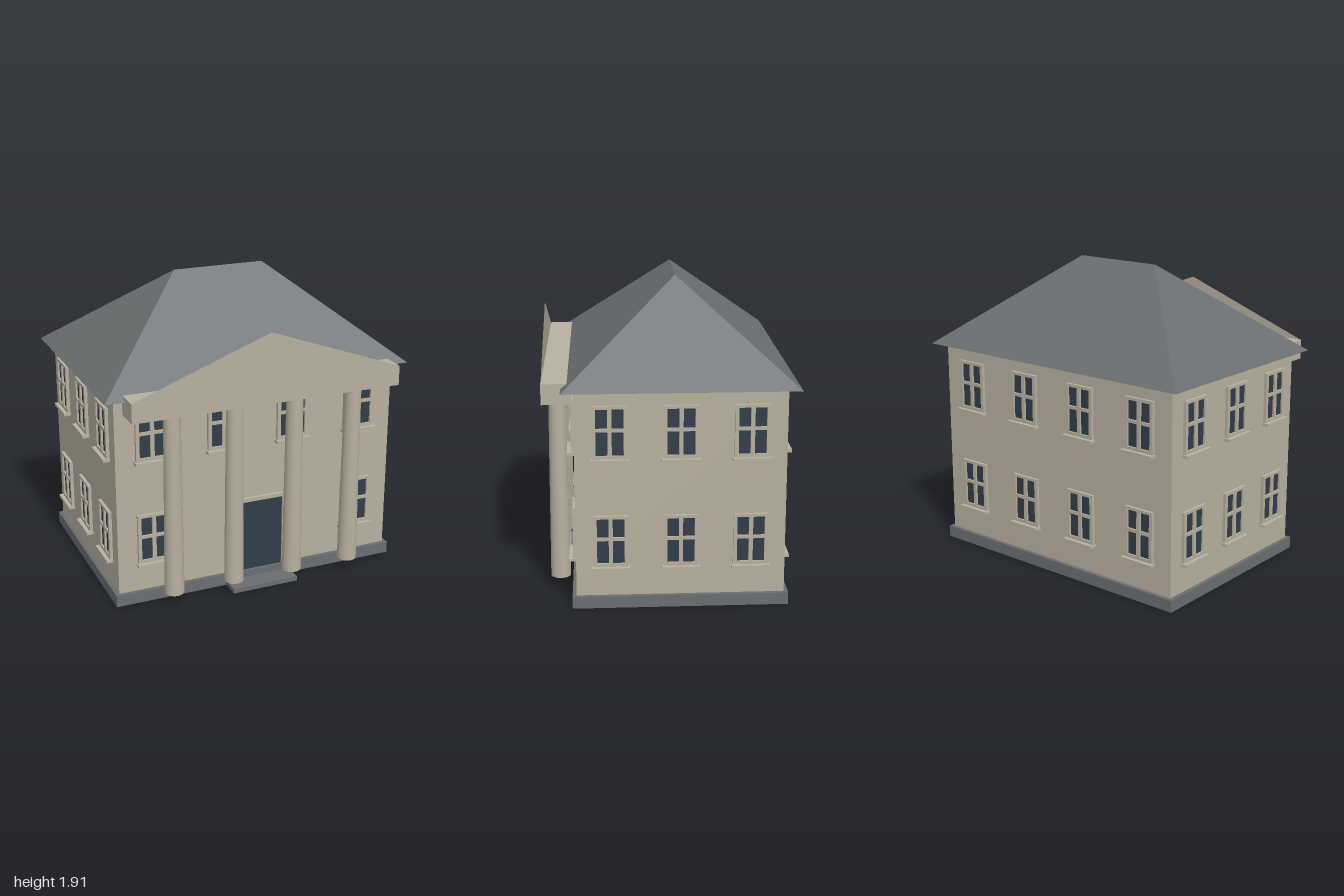
import * as THREE from 'three';

const wallMat = new THREE.MeshStandardMaterial({ name: 'stone', color: 0xb8b09f });
const slateMat = new THREE.MeshStandardMaterial({ name: 'slate', color: 0x696e70 });
const glassMat = new THREE.MeshStandardMaterial({ name: 'darkGlass', color: 0x2f3d49 });
const sheetMat = new THREE.MeshStandardMaterial({ name: 'stoneSheet', color: 0xb8b09f, side: THREE.DoubleSide });

const ZC = -0.0575; // centre of the house body in z
const HALF_W = 0.925, HALF_D = 0.6275;

// Box given by its min and max corners
function box(name, mat, [x0, y0, z0], [x1, y1, z1]) {
  const mesh = new THREE.Mesh(new THREE.BoxGeometry(x1 - x0, y1 - y0, z1 - z0), mat);
  mesh.position.set((x0 + x1) / 2, (y0 + y1) / 2, (z0 + z1) / 2);
  mesh.name = name;
  return mesh;
}

function rectPath(Type, x0, y0, x1, y1) {
  return new Type([[x0, y0], [x1, y0], [x1, y1], [x0, y1]].map(p => new THREE.Vector2(...p)));
}

// Hipped roof with a short ridge and a closed underside
function hipRoof() {
  const y = 1.35, top = 1.915, d = 0.6995, r = 0.3;
  const a = [-1, y, ZC + d], b = [1, y, ZC + d], c = [1, y, ZC - d], e = [-1, y, ZC - d];
  const l = [-r, top, ZC], m = [r, top, ZC];
  const tris = [a, b, m, a, m, l, b, c, m, c, e, l, c, l, m, e, a, l, a, e, c, a, c, b];
  const g = new THREE.BufferGeometry();
  g.setAttribute('position', new THREE.Float32BufferAttribute(tris.flat(), 3));
  g.computeVertexNormals();
  const mesh = new THREE.Mesh(g, slateMat);
  mesh.name = 'roof';
  return mesh;
}

// Window frame with four panes cut out
const frameShape = rectPath(THREE.Shape, -0.105, -0.16, 0.105, 0.16);
for (const [x0, x1] of [[-0.082, -0.0125], [0.0125, 0.082]])
  for (const [y0, y1] of [[-0.14, 0.005], [0.025, 0.142]])
    frameShape.holes.push(rectPath(THREE.Path, x0, y0, x1, y1));
const frameGeo = new THREE.ExtrudeGeometry(frameShape, { depth: 0.02, bevelEnabled: false });

function makeWindow() {
  const g = new THREE.Group();
  g.name = 'window';
  const frame = new THREE.Mesh(frameGeo, wallMat);
  frame.name = 'windowFrame';
  g.add(frame,
    box('windowGlass', glassMat, [-0.09, -0.15, 0], [0.09, 0.15, 0.008]),
    box('windowSill', wallMat, [-0.115, -0.178, 0], [0.115, -0.16, 0.045]));
  return g;
}

export function createModel() {
  const model = new THREE.Group();
  model.name = 'house';

  // Plinth, step, walls and roof
  model.add(
    box('plinth', slateMat, [-0.95, 0, ZC - 0.6525], [0.95, 0.075, ZC + 0.6525]),
    box('doorStep', slateMat, [-0.22, 0, 0.59], [0.22, 0.03, 0.718]),
    box('walls', wallMat, [-HALF_W, 0.075, ZC - HALF_D], [HALF_W, 1.35, ZC + HALF_D]),
    hipRoof());

  // Windows: each wall has its own turn, distance and column positions
  const wide = [-0.694, -0.231, 0.231, 0.694], narrow = [-0.4185, 0, 0.4185];
  const sides = [
    { name: 'front', turn: 0, dist: HALF_D, xs: wide },
    { name: 'back', turn: Math.PI, dist: HALF_D, xs: wide },
    { name: 'left', turn: Math.PI / 2, dist: HALF_W, xs: narrow },
    { name: 'right', turn: -Math.PI / 2, dist: HALF_W, xs: narrow },
  ];
  for (const { name, turn, dist, xs } of sides) {
    const group = new THREE.Group();
    group.name = name + 'Windows';
    group.position.z = ZC;
    group.rotation.y = turn;
    for (const y of [0.425, 1.1]) for (const x of xs) {
      if (name === 'front' && y < 1 && Math.abs(x) < 0.5) continue; // room for the door
      const w = makeWindow();
      w.position.set(x, y, dist);
      group.add(w);
    }
    model.add(group);
  }

  // Door in a thin surround
  const wallZ = ZC + HALF_D;
  model.add(
    box('door', glassMat, [-0.17, 0.075, wallZ], [0.17, 0.55, wallZ + 0.009]),
    box('doorLintel', wallMat, [-0.19, 0.55, wallZ], [0.19, 0.575, wallZ + 0.02]));
  for (const s of [-1, 1]) {
    const jamb = box('doorJamb', wallMat, [-0.01, 0.075, wallZ], [0.01, 0.55, wallZ + 0.02]);
    jamb.position.x = s * 0.18;
    model.add(jamb);
  }

  // Tapered columns
  const columnGeo = new THREE.CylinderGeometry(0.052, 0.062, 1.18, 24);
  for (const x of [-0.6, -0.2, 0.2, 0.6]) {
    const column = new THREE.Mesh(columnGeo, wallMat);
    column.name = 'column';
    column.position.set(x, 0.665, 0.672);
    model.add(column);
  }

  // Beam over the columns, with a flat triangular gable at its front
  model.add(box('entablature', wallMat, [-0.875, 1.255, 0.587], [0.875, 1.38, 0.757]));
  const gable = new THREE.Shape([[-0.875, 1.38], [0.875, 1.38], [0, 1.7]].map(p => new THREE.Vector2(...p)));
  const pediment = new THREE.Mesh(new THREE.ShapeGeometry(gable), sheetMat);
  pediment.name = 'pediment';
  pediment.position.z = 0.755;
  model.add(pediment);

  return model;
}
